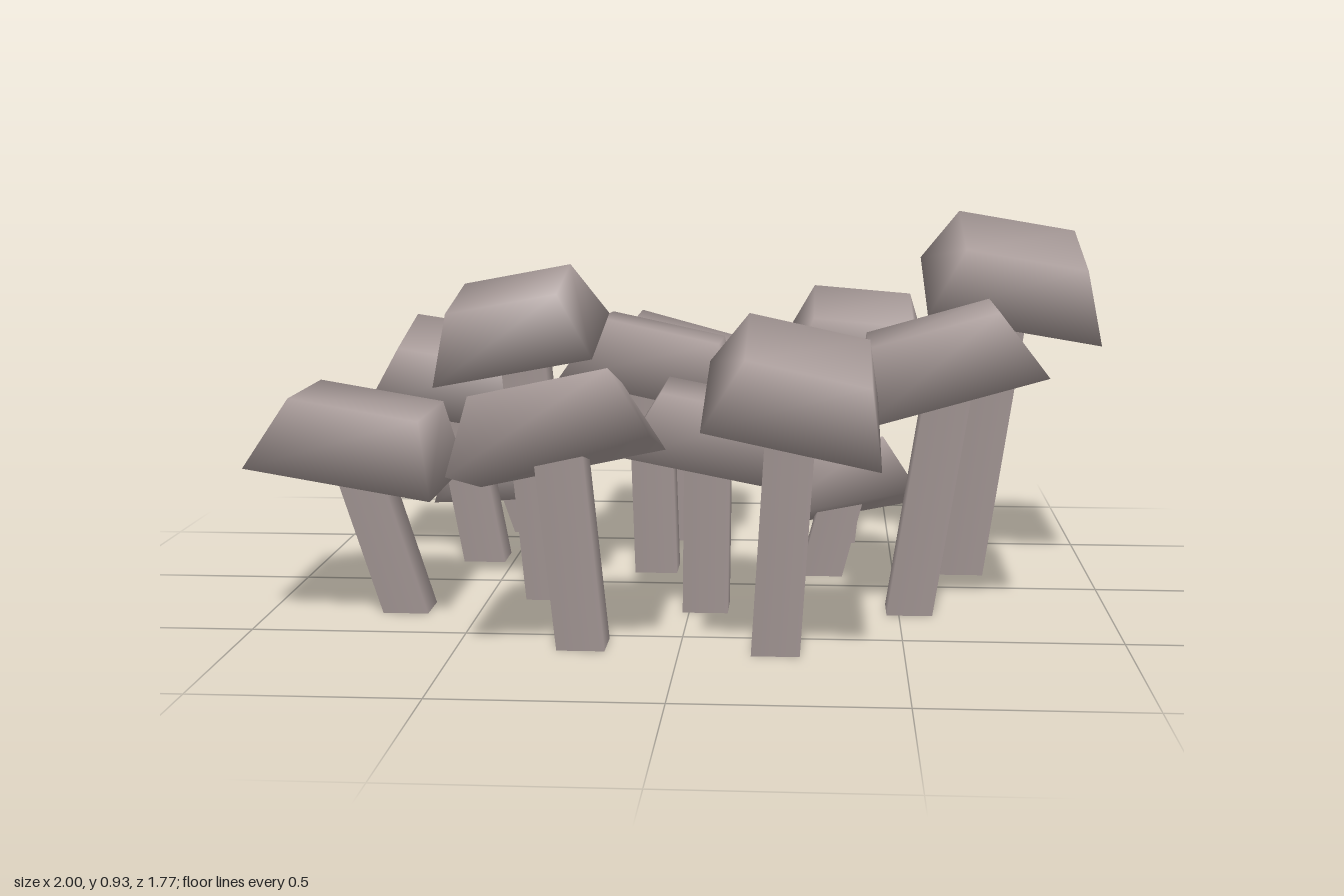
import * as THREE from 'three';
import { mergeVertices } from 'three/addons/utils/BufferGeometryUtils.js';

// x, z, y of the cap underside, pitch and roll in degrees, large or small
const MUSHROOMS = [
  [-0.58, -0.70, 0.145, 13, 3, false],
  [-0.10, -0.61, 0.415, 0, -15, true],
  [0.41, -0.61, 0.50, 14, -5, false],
  [-0.67, -0.285, 0.44, 13, -9, false],
  [-0.13, -0.18, 0.47, -3, -12, true],
  [0.365, -0.17, 0.16, -16, 11, false],
  [0.785, -0.21, 0.705, 15, -10, true],
  [-0.785, 0.32, 0.35, 0, -9.5, true],
  [-0.41, 0.155, 0.615, 10, 11, false],
  [0.045, 0.265, 0.37, 0, -11, false],
  [0.61, 0.26, 0.54, 0, 16, true],
  [-0.255, 0.655, 0.43, -14, 12, true],
  [0.25, 0.675, 0.545, 15, -13, false],
];

// Square cap narrowing to the top, with soft normals all round
function capGeometry(size, height) {
  let geo = new THREE.BoxGeometry(size, height, size);
  geo.translate(0, height / 2, 0);
  const p = geo.attributes.position;
  for (let i = 0; i < p.count; i++) {
    if (p.getY(i) > height / 2) {
      p.setX(i, p.getX(i) * 0.7);
      p.setZ(i, p.getZ(i) * 0.7);
    }
  }
  geo.deleteAttribute('normal');
  geo.deleteAttribute('uv');
  geo = mergeVertices(geo);
  geo.computeVertexNormals();
  return geo;
}

// Four-sided stem with a level foot, sheared outward to meet the cap
function stemGeometry(width, height, leanX, leanZ) {
  const r = width / Math.SQRT2;
  const geo = new THREE.CylinderGeometry(r, r, height, 4);
  geo.rotateY(Math.PI / 4);
  geo.translate(0, height / 2, 0);
  const p = geo.attributes.position;
  for (let i = 0; i < p.count; i++) {
    const t = p.getY(i) / height;
    p.setX(i, p.getX(i) + leanX * t);
    p.setZ(i, p.getZ(i) + leanZ * t);
  }
  return geo;
}

export function createModel() {
  const model = new THREE.Group();
  model.name = 'mushroomCluster';
  const flesh = new THREE.MeshStandardMaterial({ color: 0xaa9d9b });
  flesh.name = 'mushroomGrey';

  const largeCap = capGeometry(0.435, 0.165);
  const smallCap = capGeometry(0.385, 0.155);

  MUSHROOMS.forEach(([x, z, y, pitch, roll, large], i) => {
    const mushroom = new THREE.Group();
    mushroom.name = `mushroom${i + 1}`;

    const cap = new THREE.Mesh(large ? largeCap : smallCap, flesh);
    cap.name = 'cap';
    cap.position.set(x, y, z);
    cap.rotation.set(THREE.MathUtils.degToRad(pitch), 0, THREE.MathUtils.degToRad(roll));

    // The stems fan out from the middle and end just inside the cap
    const footX = x * 0.86, footZ = z * 0.88;
    const stem = new THREE.Mesh(stemGeometry(0.108, y + 0.03, x - footX, z - footZ), flesh);
    stem.name = 'stem';
    stem.position.set(footX, 0, footZ);

    mushroom.add(cap, stem);
    model.add(mushroom);
  });
  return model;
}
